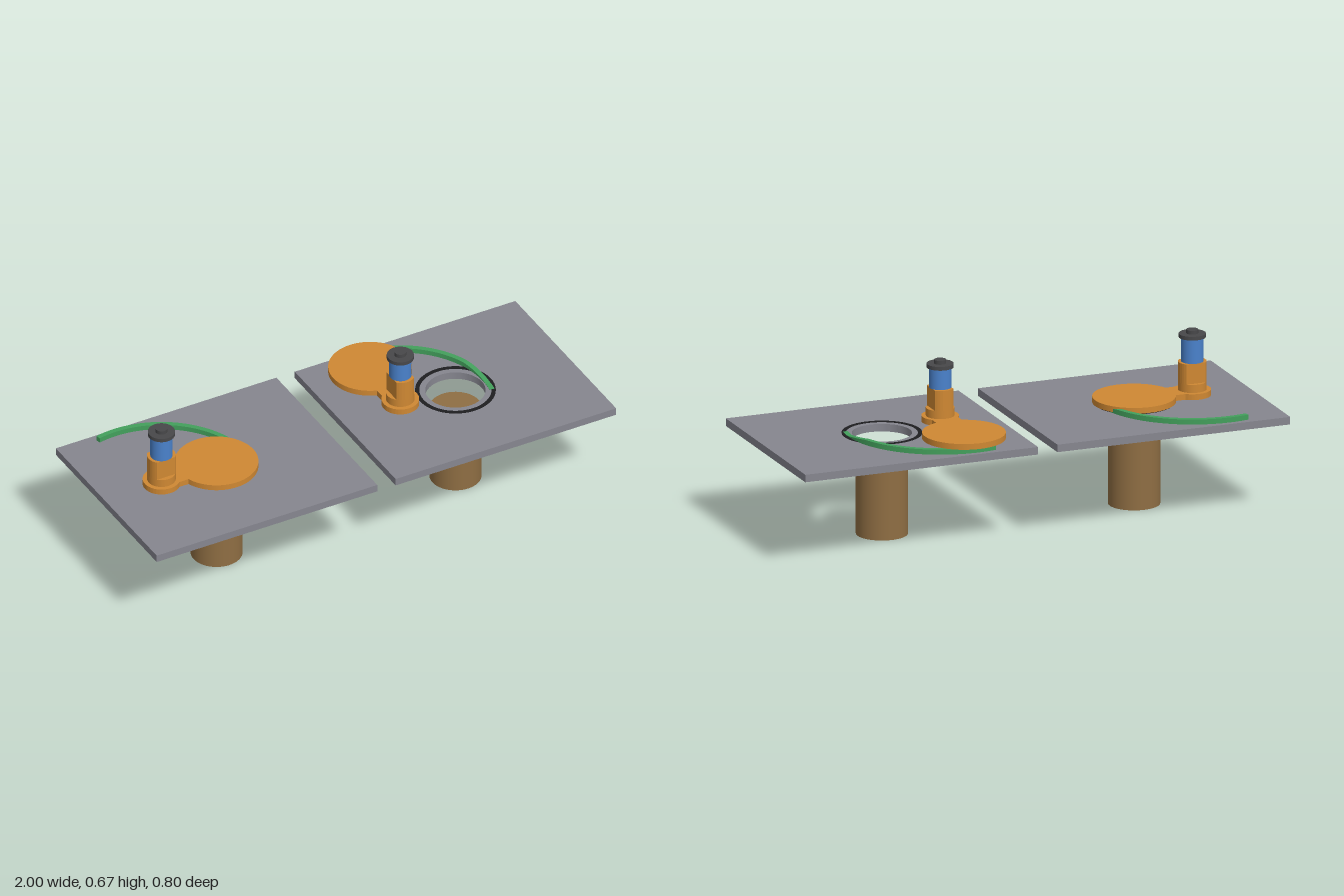
import * as THREE from 'three';
import { toCreasedNormals } from 'three/addons/utils/BufferGeometryUtils.js';

const mat = (name, color, extra = {}) => {
  const m = new THREE.MeshStandardMaterial({ color, ...extra });
  m.name = name;
  return m;
};

export function createModel() {
  const grey = mat('plate grey', 0x86868f);
  const orange = mat('arm orange', 0xcf8833);
  const green = mat('ramp green', 0x43a05c);
  const blue = mat('spring blue', 0x4a82cc);
  const dark = mat('shaft dark grey', 0x48484a);
  const brown = mat('pipe brown', 0x8f6e43);
  const black = mat('seal black', 0x1e1e20);

  const root = new THREE.Group();
  root.name = 'swingLidValves';

  const add = (parent, name, geometry, material, x = 0, y = 0, z = 0) => {
    const mesh = new THREE.Mesh(geometry, material);
    mesh.name = name;
    mesh.position.set(x, y, z);
    parent.add(mesh);
    return mesh;
  };
  // Upright cylinder between two heights
  const post = (parent, name, r, y0, y1, material, x = 0) =>
    add(parent, name, new THREE.CylinderGeometry(r, r, y1 - y0, 48), material, x, (y0 + y1) / 2, 0);
  // Plan outline extruded upwards from y = 0
  const slab = (shape, depth) => {
    const g = new THREE.ExtrudeGeometry(shape, { depth, bevelEnabled: false, curveSegments: 40 });
    g.rotateX(-Math.PI / 2);
    return toCreasedNormals(g, 0.5);
  };

  // Lid outline: hub, neck and disc
  const neck = 0.053, hubR = 0.072, lidR = 0.16, reach = 0.24;
  const a1 = Math.asin(neck / hubR), a2 = Math.asin(neck / lidR);
  const lidShape = new THREE.Shape();
  lidShape.absarc(0, 0, hubR, a1, 2 * Math.PI - a1, false);
  lidShape.absarc(reach, 0, lidR, Math.PI + a2, 3 * Math.PI - a2, false);
  lidShape.closePath();

  // Collar outline: circle with two flats
  const collarR = 0.055, flat = Math.asin(0.038 / collarR);
  const collarShape = new THREE.Shape();
  collarShape.absarc(0, 0, collarR, -flat, flat, false);
  collarShape.absarc(0, 0, collarR, Math.PI - flat, Math.PI + flat, false);
  collarShape.closePath();

  // Curved rail around the pivot that climbs from the plate to full height
  const rampGeometry = () => {
    const g = new THREE.BoxGeometry(1, 1, 1, 72, 1, 1);
    const p = g.attributes.position;
    for (let i = 0; i < p.count; i++) {
      const deg = -10 + 112 * (p.getX(i) + 0.5);
      const h = 0.002 + 0.018 * THREE.MathUtils.clamp((deg + 2) / 21, 0, 1);
      const r = 0.37 + 0.02 * p.getZ(i);
      const t = THREE.MathUtils.degToRad(deg);
      p.setXYZ(i, r * Math.cos(t), 0.4 + h * (p.getY(i) + 0.5), -r * Math.sin(t));
    }
    g.computeVertexNormals();
    return g;
  };

  const buildValve = (name, x0, x1, pipeX, pivotX, lift, turn) => {
    const valve = new THREE.Group();
    valve.name = name;
    root.add(valve);

    // Plate with its opening, seal ring and pipe below
    const plate = new THREE.Shape();
    plate.moveTo(x0, -0.4).lineTo(x1, -0.4).lineTo(x1, 0.4).lineTo(x0, 0.4).closePath();
    const hole = new THREE.Path();
    hole.absarc(pipeX, 0, 0.115, 0, 2 * Math.PI, true);
    plate.holes.push(hole);
    add(valve, 'plate', slab(plate, 0.03), grey, 0, 0.37, 0);
    const ring = new THREE.Shape();
    ring.absarc(0, 0, 0.154, 0, 2 * Math.PI, false);
    const inner = new THREE.Path();
    inner.absarc(0, 0, 0.138, 0, 2 * Math.PI, true);
    ring.holes.push(inner);
    add(valve, 'sealRing', slab(ring, 0.002), black, pipeX, 0.3995, 0);
    post(valve, 'pipe', 0.1, 0, 0.32, brown, pipeX);

    // Fixed parts around the pivot
    const pivot = new THREE.Group();
    pivot.name = 'pivot';
    pivot.position.x = pivotX;
    valve.add(pivot);
    add(pivot, 'ramp', rampGeometry(), green);
    post(pivot, 'shaft', 0.023, 0.3695, 0.665, dark);
    post(pivot, 'cap', 0.052, 0.635, 0.65, dark);
    post(pivot, 'spring', 0.043, 0.539 + lift, 0.635, blue);

    // Swinging lid with its collar
    const arm = new THREE.Group();
    arm.name = 'swingArm';
    arm.position.y = 0.404 + lift;
    arm.rotation.y = turn;
    pivot.add(arm);
    add(arm, 'lid', slab(lidShape, 0.023), orange);
    post(arm, 'collarBase', collarR, 0.02, 0.055, orange);
    add(arm, 'flattedCollar', slab(collarShape, 0.08), orange, 0, 0.055, 0);
  };

  buildValve('closedValve', -1, -0.04, -0.52, -0.76, 0, 0);
  buildValve('openValve', 0.04, 1, 0.52, 0.28, 0.016, Math.PI / 2);
  return root;
}
